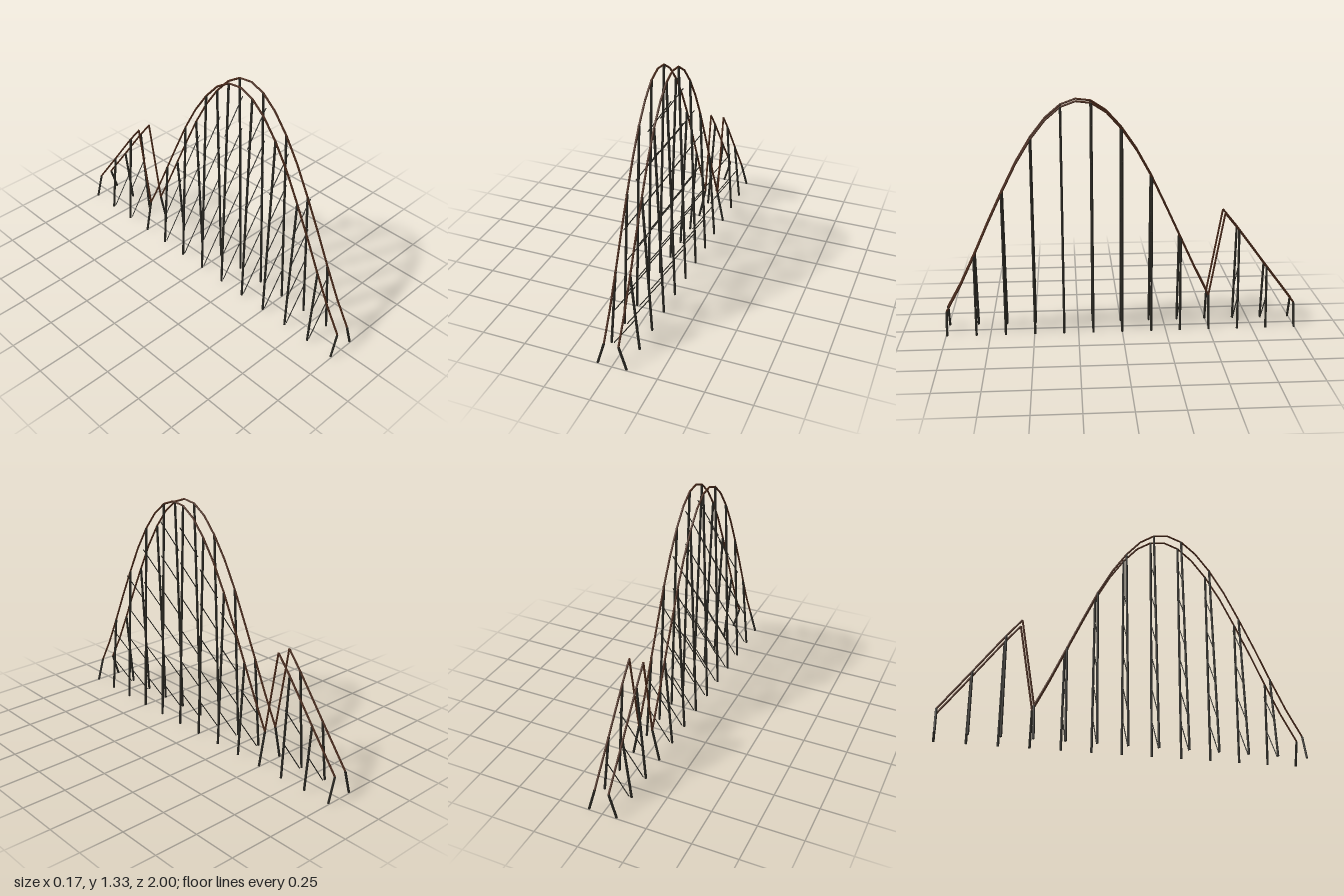
import * as THREE from 'three';

const railMat = new THREE.MeshStandardMaterial({ color: 0x4a2a1a });
railMat.name = 'rust brown rail';
const steelMat = new THREE.MeshStandardMaterial({ color: 0x2a2822 });
steelMat.name = 'dark support';

// Track heights from front (z = 1) to back (z = -1), evenly spaced
const heights = [
  0.135, 0.285, 0.46, 0.645, 0.82, 0.985, 1.12, 1.225, 1.295, 1.325, 1.315, 1.262, 1.17,
  1.05, 0.9, 0.725, 0.545, 0.365, 0.197, 0.685, 0.583, 0.472, 0.36, 0.25, 0.14,
];
const END = 0.994;
const RAIL_X = 0.04, FOOT_X = 0.08, BRACE_X = 0.065, STEP = 0.2;
const zAt = (i) => END - (i * 2 * END) / (heights.length - 1);

// Straight round bar between two points
function bar(name, a, b, radius, material, sides = 6) {
  const dir = b.clone().sub(a);
  const mesh = new THREE.Mesh(new THREE.CylinderGeometry(radius, radius, dir.length(), sides), material);
  mesh.name = name;
  mesh.position.copy(a).add(b).multiplyScalar(0.5);
  mesh.quaternion.setFromUnitVectors(new THREE.Vector3(0, 1, 0), dir.normalize());
  return mesh;
}

export function createModel() {
  const model = new THREE.Group();
  model.name = 'coasterTrack';
  const v = (x, y, z) => new THREE.Vector3(x, y, z);

  // Pair of rails following the hill profile
  for (const side of [-1, 1]) {
    const rail = new THREE.Group();
    rail.name = side > 0 ? 'leftRail' : 'rightRail';
    for (let i = 0; i < heights.length - 1; i++) {
      rail.add(bar('railSegment',
        v(side * RAIL_X, heights[i], zAt(i)),
        v(side * RAIL_X, heights[i + 1], zAt(i + 1)), 0.0055, railMat));
    }
    model.add(rail);
  }

  // Splayed support bents under every second track point
  for (let i = 0; i < heights.length; i += 2) {
    const bent = new THREE.Group();
    bent.name = 'supportBent';
    const h = heights[i], z = zAt(i);
    for (const side of [-1, 1]) {
      bent.add(bar('supportLeg', v(side * FOOT_X, 0.001, z), v(side * RAIL_X, h, z), 0.0068, steelMat));
    }
    // Diagonal braces stacked up the bent
    for (let k = 0; (k + 1) * STEP < h; k++) {
      bent.add(bar('diagonalBrace',
        v(-BRACE_X, k * STEP + 0.003, z), v(BRACE_X, (k + 1) * STEP - 0.003, z), 0.003, steelMat, 5));
    }
    model.add(bent);
  }
  return model;
}
